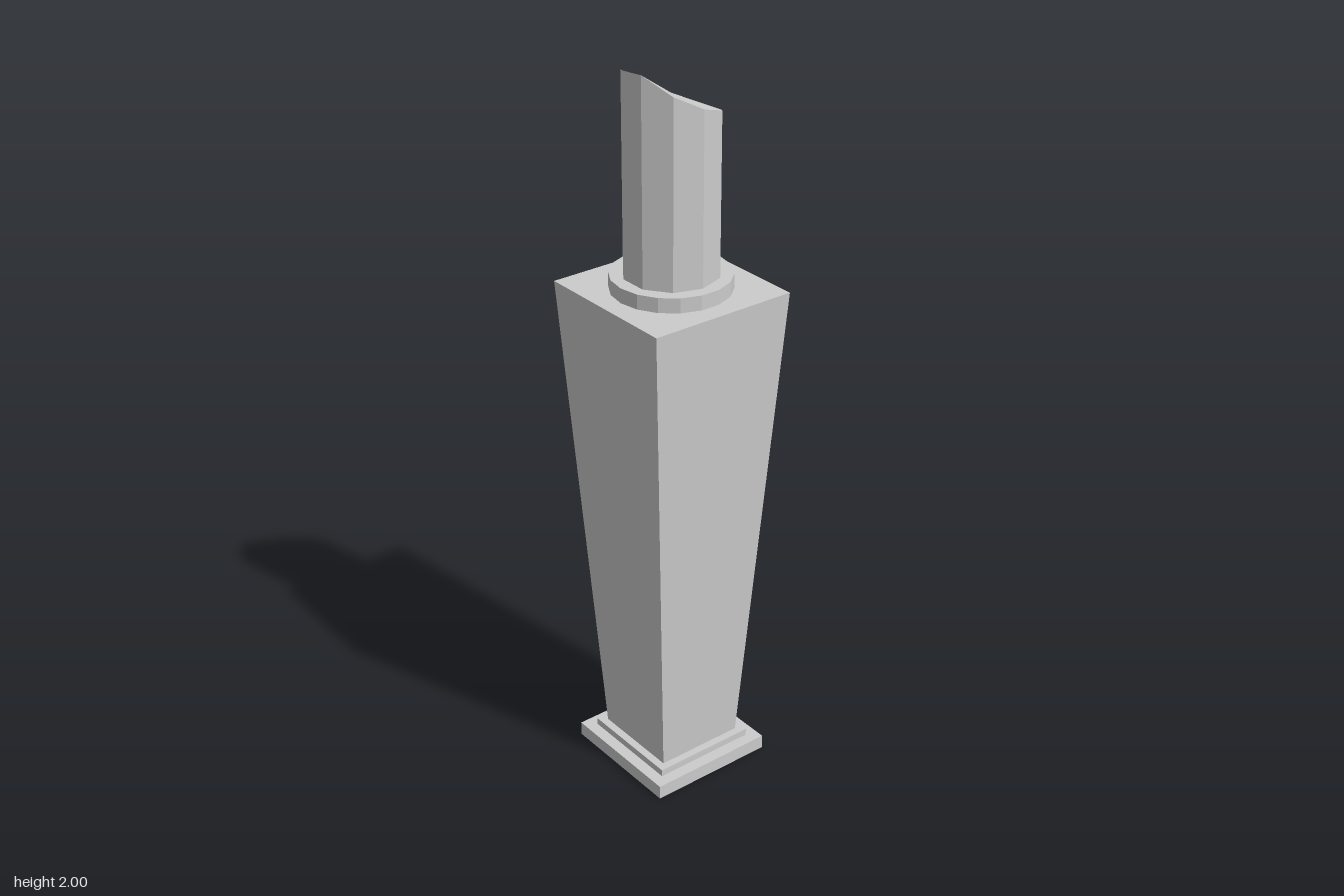
import * as THREE from 'three';

const material = new THREE.MeshStandardMaterial({
  color: 0xcccccc, flatShading: true, side: THREE.DoubleSide,
});

function part(name, geometry) {
  const flat = geometry.toNonIndexed();
  flat.computeVertexNormals();
  const mesh = new THREE.Mesh(flat, material);
  mesh.name = name;
  return mesh;
}

// Square stepped shell, open underneath: [half width, height]
function pedestalGeometry() {
  const profile = [
    [0.183, 0], [0.183, 0.04], [0.15, 0.04], [0.15, 0.06],
    [0.128, 0.06], [0.21, 1.417], [0, 1.417],
  ].map(([half, y]) => new THREE.Vector2(half * Math.SQRT2, y));
  return new THREE.LatheGeometry(profile, 4, Math.PI / 4);
}

// Ten-sided column with a broken, slanting top
function columnGeometry() {
  const bottom = 1.457, sides = 10;
  // Rim heights, starting at +x and turning towards the back
  const rim = [1.915, 1.89, 1.866, 1.86, 1.86, 1.89, 1.968, 1.992, 2.0, 1.954];
  const g = new THREE.CylinderGeometry(0.126, 0.126, 1, sides, 1, false, Math.PI / 2);
  const p = g.attributes.position;
  for (let i = 0; i < p.count; i++) {
    const x = p.getX(i), z = p.getZ(i);
    let y = bottom;
    if (p.getY(i) > 0) {
      const turn = Math.round(Math.atan2(-z, x) / (2 * Math.PI / sides));
      y = Math.hypot(x, z) < 0.01 ? 1.922 : rim[(turn + sides) % sides];
    }
    p.setY(i, y);
  }
  return g;
}

export function createModel() {
  const model = new THREE.Group();
  model.name = 'brokenColumnOnPedestal';

  model.add(part('pedestal', pedestalGeometry()));

  // Round collar under the column
  const collar = part('collar', new THREE.CylinderGeometry(0.158, 0.158, 0.04, 18));
  collar.position.y = 1.437;
  model.add(collar);

  model.add(part('brokenColumn', columnGeometry()));
  return model;
}
